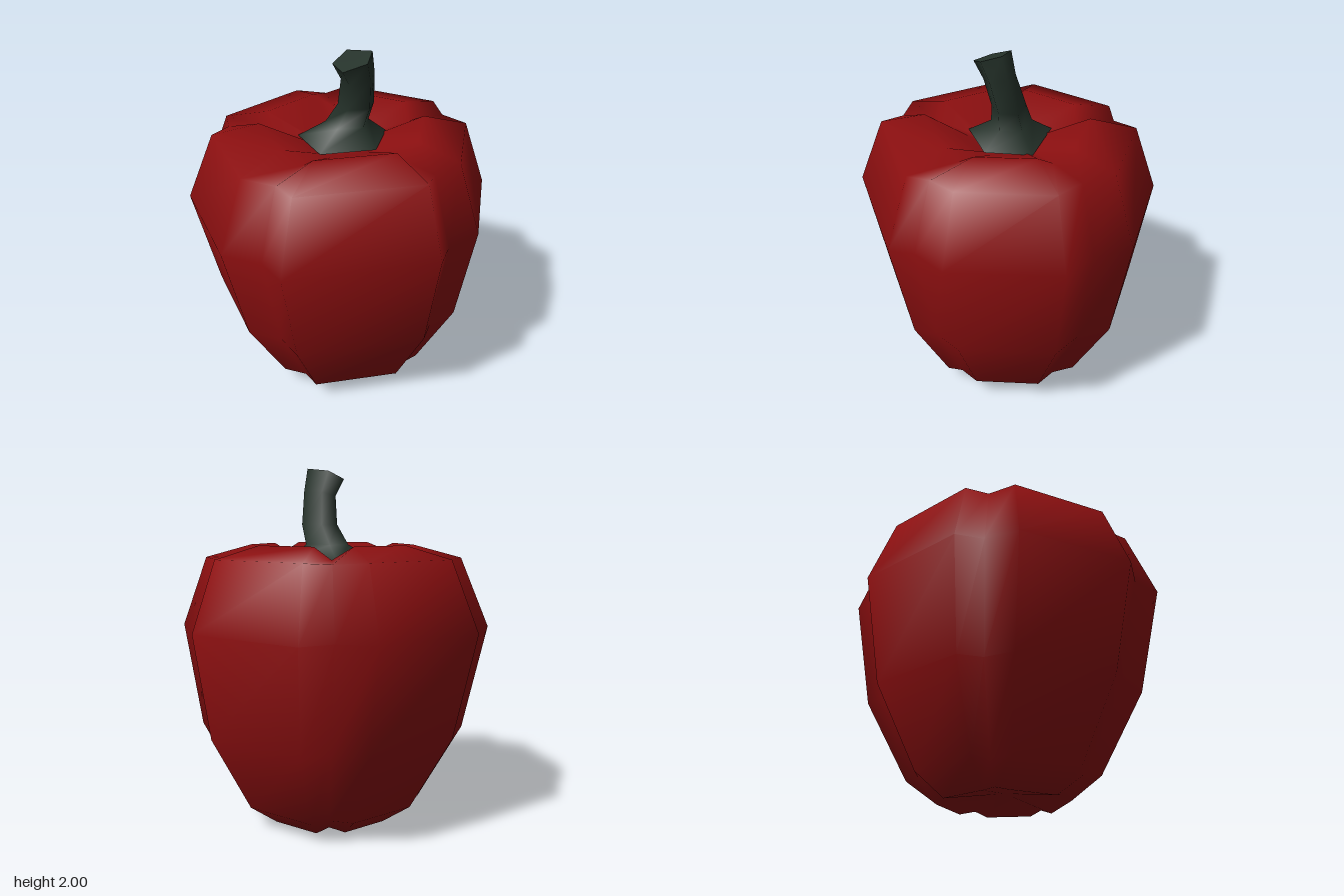
import * as THREE from 'three';

// Five lobes seen from above: two corners each, with a groove point between (x, z)
const OUTLINE = [
  [-0.36, -0.81], [0.30, -0.81], [0.44, -0.64],
  [0.63, -0.61], [0.86, 0.04], [0.74, 0.22],
  [0.72, 0.44], [0.22, 0.78], [0.01, 0.75],
  [-0.12, 0.81], [-0.79, 0.36], [-0.76, 0.18],
  [-0.86, -0.02], [-0.62, -0.63], [-0.44, -0.68],
];
const STEM_OUTLINE = [[-0.14, -0.22], [0.14, -0.25], [0.25, 0.08], [0.03, 0.21], [-0.22, 0.04]];

// Skin stacked rings of [x, y, z] points; optional end points close the ends
function loft(rings, bottom, top) {
  const n = rings[0].length;
  const positions = rings.flat(2);
  const index = [];
  for (let i = 0; i < rings.length - 1; i++) {
    for (let j = 0; j < n; j++) {
      const k = (j + 1) % n;
      const a = i * n + j, b = i * n + k, c = a + n, d = b + n;
      index.push(a, c, b, b, c, d);
    }
  }
  const close = (point, start, flip) => {
    const centre = positions.length / 3;
    positions.push(...point);
    for (let j = 0; j < n; j++) {
      const a = start + j, b = start + (j + 1) % n;
      index.push(centre, flip ? b : a, flip ? a : b);
    }
  };
  if (bottom) close(bottom, 0, false);
  if (top) close(top, (rings.length - 1) * n, true);
  const geometry = new THREE.BufferGeometry();
  geometry.setAttribute('position', new THREE.Float32BufferAttribute(positions, 3));
  geometry.setIndex(index);
  geometry.computeVertexNormals();
  return geometry;
}

export function createModel() {
  const red = new THREE.MeshStandardMaterial({ color: 0x8c0f10 });
  red.name = 'pepper red';
  const green = new THREE.MeshStandardMaterial({ color: 0x25322a });
  green.name = 'stem green';
  const group = new THREE.Group();
  group.name = 'bellPepper';

  // Fruit: height, scale, x shift, groove height change
  const profile = [
    [0, 0.41, 0.025, 0.02],
    [0.12, 0.60, 0.025, 0],
    [0.55, 0.87, 0.02, 0],
    [1.13, 1, 0, 0],
    [1.51, 0.83, 0.01, -0.01],
    [1.58, 0.53, 0.01, -0.07],
    [1.47, 0.22, 0.01, 0],
  ];
  const fruitRings = profile.map(([y, s, dx, groove]) =>
    OUTLINE.map(([x, z], j) => [x * s + dx, y + (j % 3 === 2 ? groove : 0), z * s]));
  const fruit = new THREE.Mesh(loft(fruitRings, [0.025, 0.06, 0], [0.01, 1.43, 0]), red);
  fruit.name = 'fruit';
  group.add(fruit);

  // Stem: flared foot, bent stalk and slanted tip (centre x, y, z, scale, slant)
  const stalk = [
    [0, 1.49, 0, 1, 0],
    [0.03, 1.58, 0, 0.48, 0],
    [0.05, 1.69, 0.045, 0.40, 0],
    [0.02, 1.86, 0.085, 0.36, 0.2],
    [-0.025, 1.965, 0.09, 0.42, 0.35],
  ];
  const stemRings = stalk.map(([cx, y, cz, s, slant]) =>
    STEM_OUTLINE.map(([x, z]) => [cx + x * s, y + x * s * slant, cz + z * s]));
  const stem = new THREE.Mesh(loft(stemRings), green);
  stem.name = 'stem';
  group.add(stem);

  // Cut end of the stem, with its own normals for a crisp edge
  const tip = new THREE.Mesh(loft([stemRings.at(-1)], null, [-0.025, 1.965, 0.09]), green);
  tip.name = 'stemTip';
  group.add(tip);
  return group;
}
